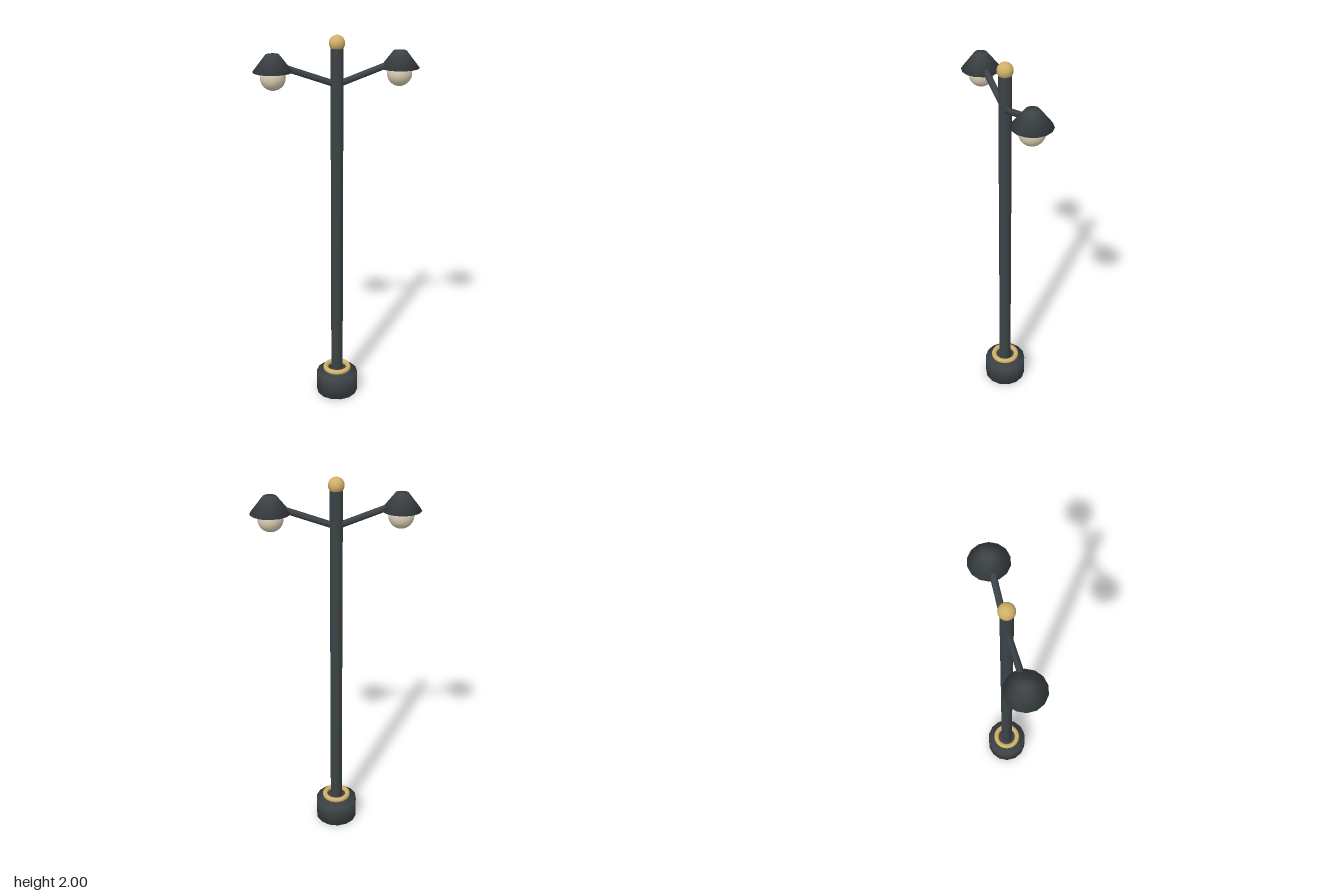
import * as THREE from 'three';
import { mergeVertices } from 'three/addons/utils/BufferGeometryUtils.js';

// Weld all corners so the shading rolls softly over every edge
function soften(geometry) {
  geometry.deleteAttribute('uv');
  geometry.deleteAttribute('normal');
  const welded = mergeVertices(geometry, 1e-5);
  welded.computeVertexNormals();
  return welded;
}

export function createModel() {
  const iron = new THREE.MeshStandardMaterial({ name: 'dark iron', color: 0x3c4246 });
  const brass = new THREE.MeshStandardMaterial({ name: 'brass', color: 0xcfb068 });
  const glass = new THREE.MeshStandardMaterial({ name: 'warm glass', color: 0xd8ccb2 });

  const lamp = new THREE.Group();
  lamp.name = 'streetLamp';

  const add = (parent, name, geometry, material, x, y) => {
    const mesh = new THREE.Mesh(geometry, material);
    mesh.name = name;
    mesh.position.set(x, y, 0);
    parent.add(mesh);
    return mesh;
  };
  const drum = (top, bottom, height, sides = 14) =>
    soften(new THREE.CylinderGeometry(top, bottom, height, sides));

  // Base, collar, pole and finial
  add(lamp, 'base', drum(0.114, 0.114, 0.12), iron, 0, 0.06);
  add(lamp, 'pole', drum(0.032, 0.032, 1.85), iron, 0, 1.025);
  const collar = new THREE.TorusGeometry(0.064, 0.014, 12, 32).rotateX(Math.PI / 2);
  add(lamp, 'collar', collar, brass, 0, 0.145);
  add(lamp, 'finial', new THREE.SphereGeometry(0.04, 20, 14), brass, 0, 1.96);

  // Two mirrored arms, each with a shade and a bulb
  for (const side of [1, -1]) {
    const branch = new THREE.Group();
    branch.name = side > 0 ? 'leftBranch' : 'rightBranch';
    lamp.add(branch);

    const start = new THREE.Vector3(0, 1.757, 0);
    const end = new THREE.Vector3(side * 0.31, 1.867, 0);
    const along = end.clone().sub(start);
    const arm = add(branch, 'arm', drum(0.016, 0.016, along.length()), iron, 0, 0);
    arm.position.copy(start).add(end).multiplyScalar(0.5);
    arm.quaternion.setFromUnitVectors(new THREE.Vector3(0, 1, 0), along.normalize());

    add(branch, 'shade', drum(0.033, 0.1, 0.085), iron, side * 0.317, 1.873);
    add(branch, 'bulb', new THREE.SphereGeometry(0.0635, 20, 14), glass, side * 0.317, 1.803);
  }
  return lamp;
}
